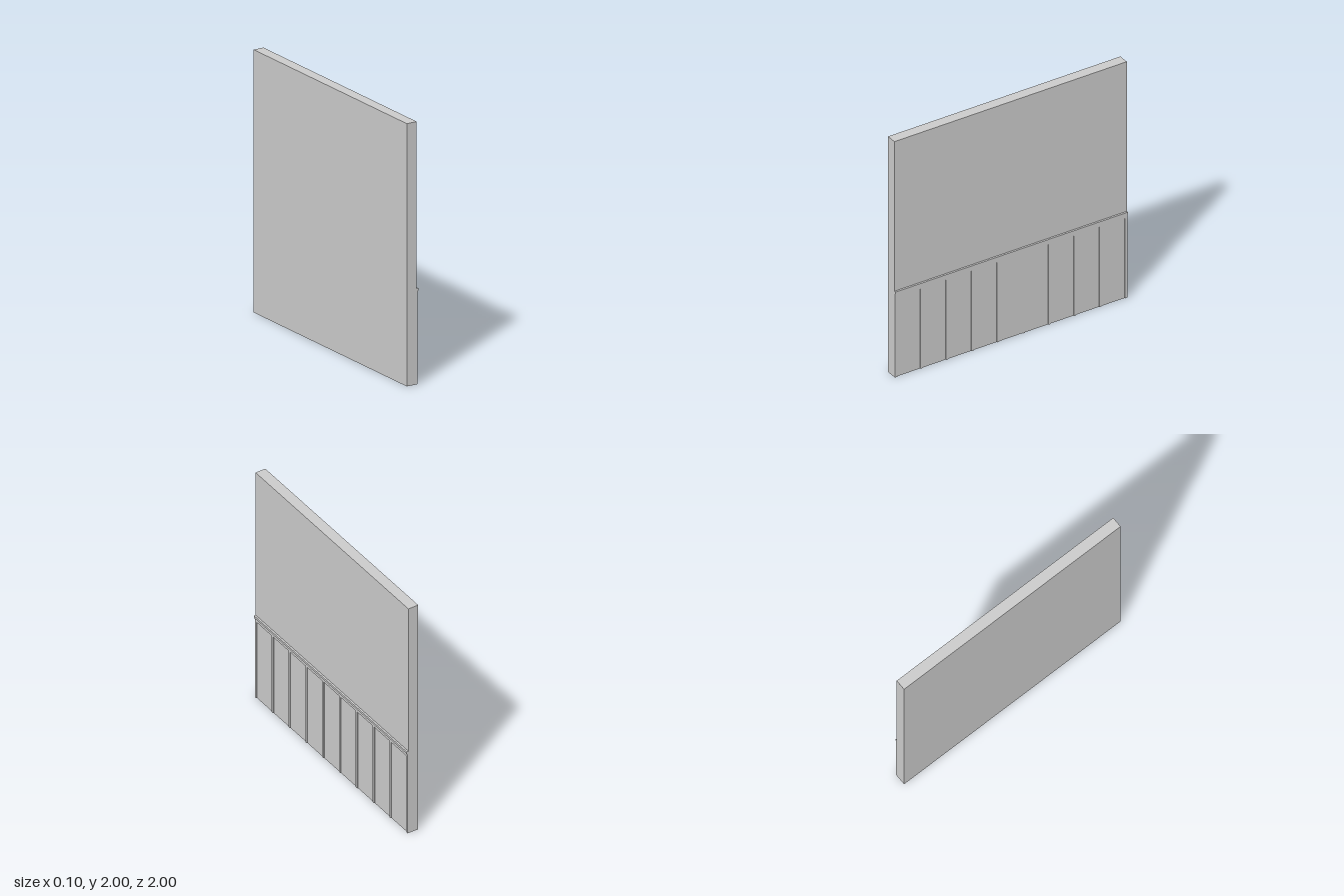
import * as THREE from 'three';

export function createModel() {
  const model = new THREE.Group();
  const material = new THREE.MeshStandardMaterial({ color: 0xcccccc });

  // Box given by its lower and upper limits on each axis
  function addBox(name, [x0, x1], [y0, y1], [z0, z1]) {
    const mesh = new THREE.Mesh(new THREE.BoxGeometry(x1 - x0, y1 - y0, z1 - z0), material);
    mesh.position.set((x0 + x1) / 2, (y0 + y1) / 2, (z0 + z1) / 2);
    mesh.name = name;
    model.add(mesh);
  }

  const face = 0.035;   // decorated face of the wall
  const raised = 0.041; // face of the wainscot frame
  const full = [-1, 1];

  // Plain wall slab
  addBox('wall', [-0.05, face], [0, 2], full);

  // Wainscot: battens dividing the lower wall into nine panels
  const panels = 9, width = 0.02;
  for (let i = 0; i <= panels; i++) {
    const z = -1 + width / 2 + (i * (2 - width)) / panels;
    addBox('batten', [face, raised], [0, 0.68], [z - width / 2, z + width / 2]);
  }
  addBox('topFrame', [face, raised], [0.68, 0.70], full);

  // Stepped chair rail
  addBox('railLower', [face, 0.045], [0.70, 0.712], full);
  addBox('railCap', [face, 0.05], [0.712, 0.73], full);

  return model;
}
